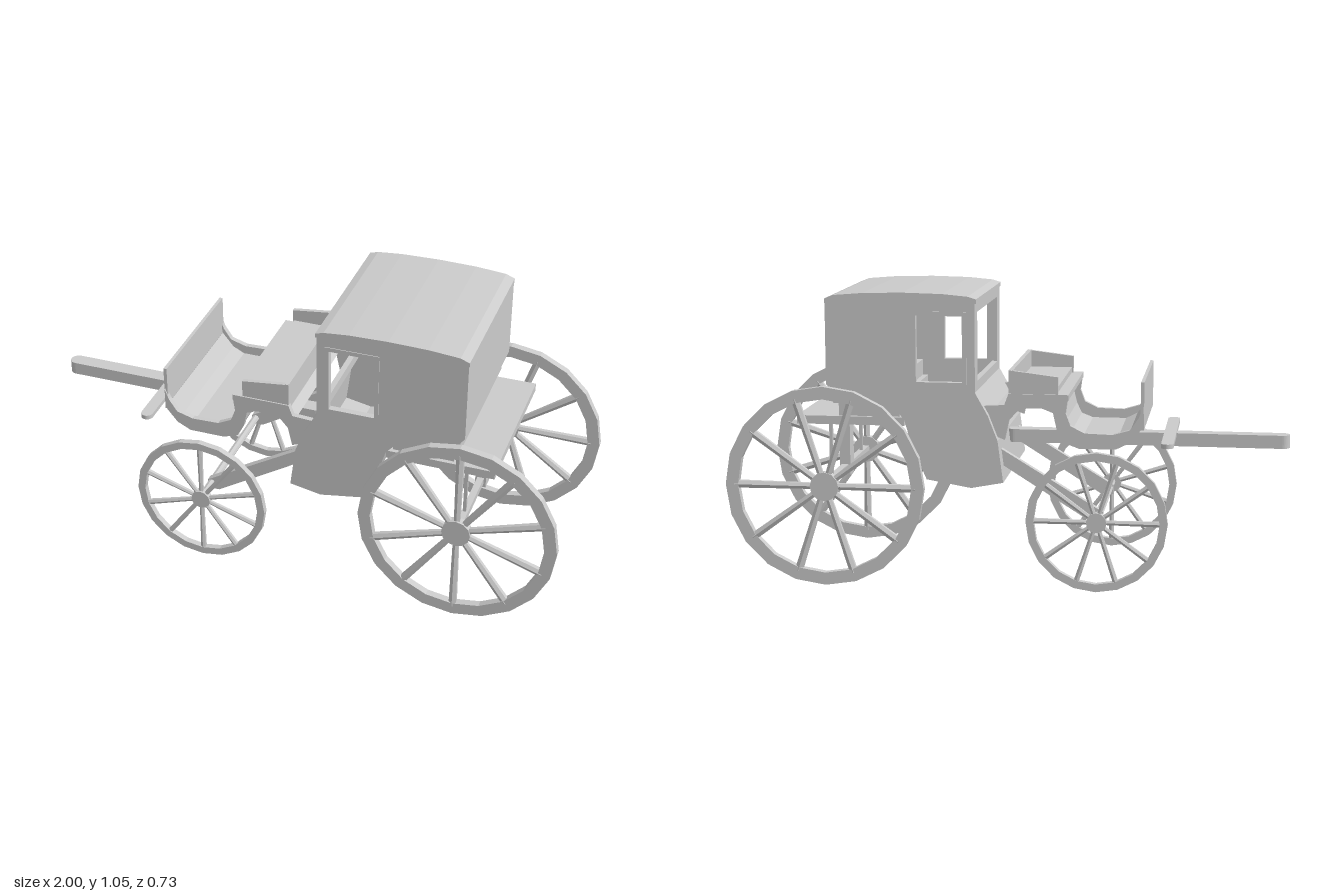
import * as THREE from 'three';

const mat = new THREE.MeshStandardMaterial({ color: 0xcccccc, flatShading: true, side: THREE.DoubleSide });

export function createModel() {
  const model = new THREE.Group();

  const add = (name, geo, x = 0, y = 0, z = 0, parent = model) => {
    const m = new THREE.Mesh(geo, mat);
    m.name = name;
    m.position.set(x, y, z);
    parent.add(m);
    return m;
  };
  // Box given by its minimum and maximum corners
  const box = (name, x0, x1, y0, y1, z0, z1) =>
    add(name, new THREE.BoxGeometry(x1 - x0, y1 - y0, z1 - z0), (x0 + x1) / 2, (y0 + y1) / 2, (z0 + z1) / 2);
  const shapeOf = pts => new THREE.Shape(pts.map(p => new THREE.Vector2(...p)));
  // Side outline extruded across z, from z0 to z0 + depth
  const slab = (name, shape, z0, depth) =>
    add(name, new THREE.ExtrudeGeometry(shape, { depth, bevelEnabled: false, curveSegments: 8 }), 0, 0, z0);
  // Thin curved panel following a side path, spanning -w..w in z
  const ribbon = (name, pts, t, w) => {
    const off = pts.map((p, i) => {
      const a = pts[Math.max(i - 1, 0)], b = pts[Math.min(i + 1, pts.length - 1)];
      const l = Math.hypot(b[0] - a[0], b[1] - a[1]);
      return [p[0] - (b[1] - a[1]) / l * t, p[1] + (b[0] - a[0]) / l * t];
    });
    return slab(name, shapeOf([...pts, ...off.reverse()]), -w, 2 * w);
  };
  const rectHole = (x0, x1, y0, y1) =>
    new THREE.Path([[x0, y0], [x0, y1], [x1, y1], [x1, y0]].map(p => new THREE.Vector2(...p)));

  // Wheels: faceted rim, tapered spokes and hub
  const wheel = (name, x, y, z, R, rim, width, spokeW, turn) => {
    const g = new THREE.Group();
    g.name = name;
    g.position.set(x, y, z);
    const h = width / 2;
    const profile = [[R - rim, -h], [R, -h], [R, h], [R - rim, h], [R - rim, -h]].map(p => new THREE.Vector2(...p));
    add('rim', new THREE.LatheGeometry(profile, 20), 0, 0, 0, g).rotation.x = Math.PI / 2;
    add('hub', new THREE.CylinderGeometry(R * 0.145, R * 0.145, width * 1.1, 12), 0, 0, 0, g).rotation.x = Math.PI / 2;
    const len = R - rim * 0.7;
    for (let i = 0; i < 10; i++) {
      const a = (i + turn) * Math.PI / 5;
      const s = add('spoke', new THREE.CylinderGeometry(spokeW * 0.6, spokeW * 0.45, len, 6),
        -Math.sin(a) * len / 2, Math.cos(a) * len / 2, 0, g);
      s.rotation.z = a;
    }
    model.add(g);
  };
  for (const s of [1, -1]) {
    const turn = s > 0 ? 0 : 0.5;
    wheel('rearWheel', 0.64, 0.36, s * 0.347, 0.36, 0.045, 0.028, 0.026, turn);
    wheel('frontWheel', -0.33, 0.255, s * 0.334, 0.25, 0.028, 0.023, 0.018, turn);
  }
  box('rearAxle', 0.628, 0.652, 0.35, 0.375, -0.345, 0.345);
  add('frontAxle', new THREE.CylinderGeometry(0.014, 0.014, 0.66, 8), -0.33, 0.26, 0).rotation.x = Math.PI / 2;

  // Cabin sides, with a framed window in each
  const front = [[0.105, 1.03], [0.105, 0.7], [0.06, 0.62], [0.025, 0.53], [0.005, 0.38]];
  const bottom = [[0.005, 0.38], [0.12, 0.358], [0.28, 0.385]];
  const back = [[0.28, 0.385], [0.33, 0.5], [0.36, 0.6], [0.4, 0.645], [0.5, 0.65], [0.6, 0.67], [0.64, 0.72], [0.64, 1.025]];
  const side = shapeOf([...front, ...bottom.slice(1), ...back.slice(1)]);
  side.holes.push(rectHole(0.145, 0.32, 0.725, 0.975));
  const frame = shapeOf([[0.135, 0.715], [0.33, 0.715], [0.33, 0.985], [0.135, 0.985]]);
  frame.holes.push(rectHole(0.15, 0.315, 0.735, 0.97));
  for (const s of [1, -1]) {
    slab('cabinSide', side, s > 0 ? 0.28 : -0.3, 0.02);
    slab('windowFrame', frame, s * 0.291 - 0.012, 0.024);
  }

  // Cabin shell between the sides
  ribbon('cabinFrontPanel', front.slice(1), 0.015, 0.297);
  ribbon('cabinFloor', bottom, 0.015, 0.297);
  ribbon('cabinBack', back, 0.015, 0.297);
  const pane = shapeOf([[-0.297, 0.7], [0.297, 0.7], [0.297, 1.03], [-0.297, 1.03]]);
  pane.holes.push(rectHole(-0.24, 0.24, 0.735, 0.98));
  const frontWall = slab('frontWindowWall', pane, 0, 0.02);
  frontWall.rotation.y = Math.PI / 2;
  frontWall.position.x = 0.105;

  // Curved roof
  slab('roof', shapeOf([[0.1, 1.015], [0.642, 1.01], [0.642, 1.025], [0.61, 1.038], [0.5, 1.047],
    [0.36, 1.05], [0.22, 1.047], [0.13, 1.039], [0.1, 1.03]]), -0.3, 0.6);

  // Cabin bench
  box('cabinBench', 0.4, 0.62, 0.65, 0.73, -0.28, 0.28);
  box('cabinBenchBack', 0.57, 0.62, 0.73, 0.88, -0.28, 0.28);

  // Rear platform, its box and struts
  box('rearPlatform', 0.36, 0.75, 0.575, 0.605, -0.295, 0.295);
  box('platformBox', 0.38, 0.6, 0.605, 0.67, -0.28, 0.28);
  box('centreStrut', 0.62, 0.66, 0.335, 0.58, -0.03, 0.03);
  for (const s of [1, -1]) box('thinStrut', 0.633, 0.645, 0.34, 0.58, s * 0.24 - 0.006, s * 0.24 + 0.006);

  // Driver's box: scrolled sides with an arch behind the footwell
  const driverSide = shapeOf([[-0.485, 0.66], [-0.47, 0.62], [-0.44, 0.575], [-0.38, 0.557], [-0.28, 0.56],
    [-0.23, 0.585], [-0.213, 0.63], [-0.222, 0.695], [-0.01, 0.695], [0.005, 0.655], [0.085, 0.65],
    [0.03, 0.54], [0.003, 0.53], [-0.012, 0.6], [-0.05, 0.643], [-0.13, 0.645], [-0.168, 0.63],
    [-0.182, 0.57], [-0.205, 0.525], [-0.26, 0.505], [-0.39, 0.505], [-0.44, 0.53], [-0.485, 0.585]]);
  for (const s of [1, -1]) slab('driverSide', driverSide, s * 0.263 - 0.01, 0.02);
  ribbon('footwell', [[-0.485, 0.59], [-0.44, 0.535], [-0.39, 0.51], [-0.26, 0.51], [-0.21, 0.53],
    [-0.187, 0.575], [-0.175, 0.63], [-0.13, 0.65], [-0.05, 0.65], [-0.005, 0.61]], 0.014, 0.258);
  box('dashboard', -0.488, -0.476, 0.575, 0.745, -0.267, 0.267);
  box('driverSeatBase', -0.222, -0.01, 0.675, 0.695, -0.272, 0.272);

  // Driver's seat with low sloping arms and back
  box('driverSeatCushion', -0.18, -0.02, 0.695, 0.715, -0.25, 0.25);
  const arm = shapeOf([[-0.185, 0.69], [-0.01, 0.69], [-0.01, 0.778], [-0.185, 0.757]]);
  for (const s of [1, -1]) slab('seatArm', arm, s * 0.26 - 0.008, 0.016);
  box('seatBack', -0.025, -0.01, 0.69, 0.778, -0.265, 0.265);

  // Round-ended pole and crossbar, both built along x
  const bar = (name, x0, x1, r, y, h) => {
    const s = new THREE.Shape();
    s.absarc(x0 + r, 0, r, Math.PI / 2, Math.PI * 1.5);
    s.absarc(x1 - r, 0, r, -Math.PI / 2, Math.PI / 2);
    const m = slab(name, s, 0, h);
    m.rotation.x = -Math.PI / 2;
    m.position.y = y;
    return m;
  };
  bar('pole', -1, 0.03, 0.028, 0.475, 0.048);
  const cross = bar('crossbar', -0.275, 0.275, 0.022, 0.512, 0.016);
  cross.rotation.z = Math.PI / 2;
  cross.position.x = -0.57;

  // Slanted beams from the front axle to the cabin
  const beam = shapeOf([[-0.345, 0.235], [-0.3, 0.235], [0.02, 0.435], [0.02, 0.49], [-0.345, 0.27]]);
  for (const s of [1, -1]) slab('slantedBeam', beam, s * 0.226 - 0.013, 0.026);

  return model;
}
